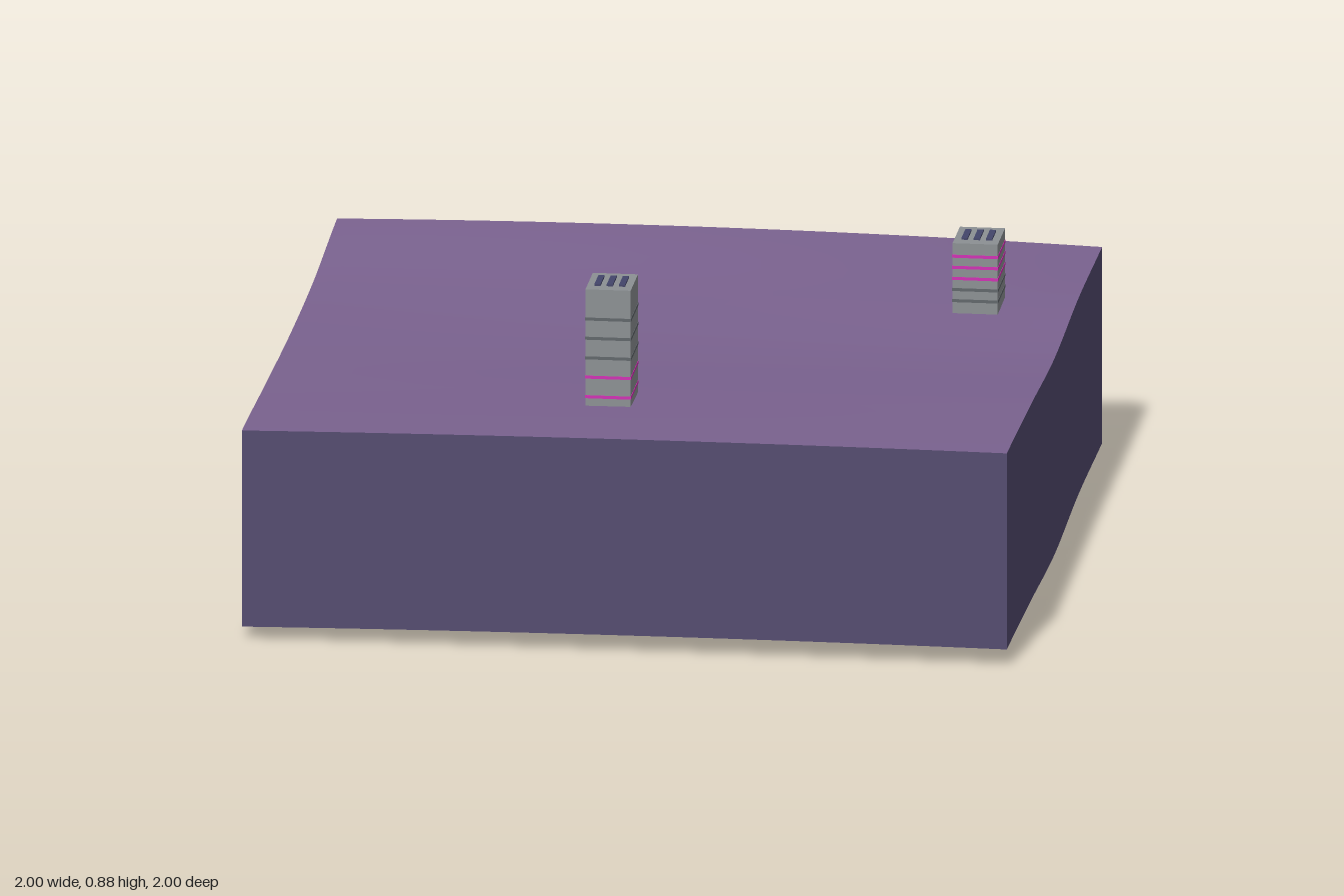
import * as THREE from 'three';

const mat = (name, color, side = THREE.FrontSide) =>
  Object.assign(new THREE.MeshStandardMaterial({ color, side }), { name });

const DEPTH = 0.53, N = 32;

// Ground heights at x = -1, 0, 1 for rows z = -1, -0.5, 0, 0.5, 1
const ROWS = [
  [0.560, 0.572, 0.555],
  [0.534, 0.550, 0.560],
  [0.533, 0.540, 0.543],
  [0.548, 0.560, 0.562],
  [0.566, 0.578, 0.576],
];

// Smooth curves along z, blended by a parabola along x
const columns = [0, 1, 2].map((i) =>
  new THREE.SplineCurve(ROWS.map((r, k) => new THREE.Vector2(k, r[i]))));

function height(x, z) {
  const [a, b, c] = columns.map((s) => s.getPoint((z + 1) / 2).y);
  return b + (c - a) / 2 * x + ((a + c) / 2 - b) * x * x;
}

// Rolling ground surface
function groundGeometry() {
  const g = new THREE.PlaneGeometry(2, 2, N, N).rotateX(-Math.PI / 2);
  const p = g.attributes.position;
  for (let i = 0; i < p.count; i++) p.setY(i, height(p.getX(i), p.getZ(i)));
  g.computeVertexNormals();
  return g;
}

// Side wall whose top and bottom edges both follow the ground
function wallGeometry(angle) {
  const g = new THREE.PlaneGeometry(2, 1, N, 1).translate(0, 0, 1).rotateY(angle);
  const p = g.attributes.position;
  for (let i = 0; i < p.count; i++) {
    const top = p.getY(i) > 0;
    p.setY(i, height(p.getX(i), p.getZ(i)) - (top ? 0 : DEPTH));
  }
  return g;
}

export function createModel() {
  const model = new THREE.Group();
  model.name = 'terrainTile';
  const ground = mat('groundPurple', 0x7a628f, THREE.DoubleSide);
  const wall = mat('wallViolet', 0x534a6f, THREE.DoubleSide);
  const concrete = mat('concreteGrey', 0x8c9093);
  const dark = mat('bandGrey', 0x60666a);
  const glow = mat('bandMagenta', 0xd02fb4);
  const vent = mat('ventSlate', 0x43456a);

  const add = (parent, name, geometry, material, x = 0, y = 0, z = 0) => {
    const m = new THREE.Mesh(geometry, material);
    m.name = name;
    m.position.set(x, y, z);
    parent.add(m);
  };

  add(model, 'ground', groundGeometry(), ground);
  ['frontWall', 'leftWall', 'backWall', 'rightWall'].forEach((name, i) =>
    add(model, name, wallGeometry(i * Math.PI / 2), wall));

  // Tower block: body, floor bands and roof vents
  function tower(name, x, z, base, top, bands) {
    const g = new THREE.Group();
    g.name = name;
    g.position.set(x, 0, z);
    const w = 0.118, d = 0.154;
    add(g, 'body', new THREE.BoxGeometry(w, top - base, d), concrete, 0, (top + base) / 2);
    for (const [y, material] of bands)
      add(g, 'floorBand', new THREE.BoxGeometry(w + 0.002, 0.008, d + 0.002), material, 0, y);
    for (const vx of [-0.032, 0, 0.032])
      add(g, 'roofVent', new THREE.BoxGeometry(0.016, 0.006, 0.084), vent, vx, top + 0.002);
    model.add(g);
  }

  tower('tallTower', -0.085, 0.583, 0.562, 0.88,
    [[0.59, glow], [0.643, glow], [0.695, dark], [0.748, dark], [0.80, dark]]);
  tower('shortTower', 0.75, -0.418, 0.556, 0.745,
    [[0.59, dark], [0.62, dark], [0.65, glow], [0.68, glow], [0.71, glow]]);

  return model;
}
